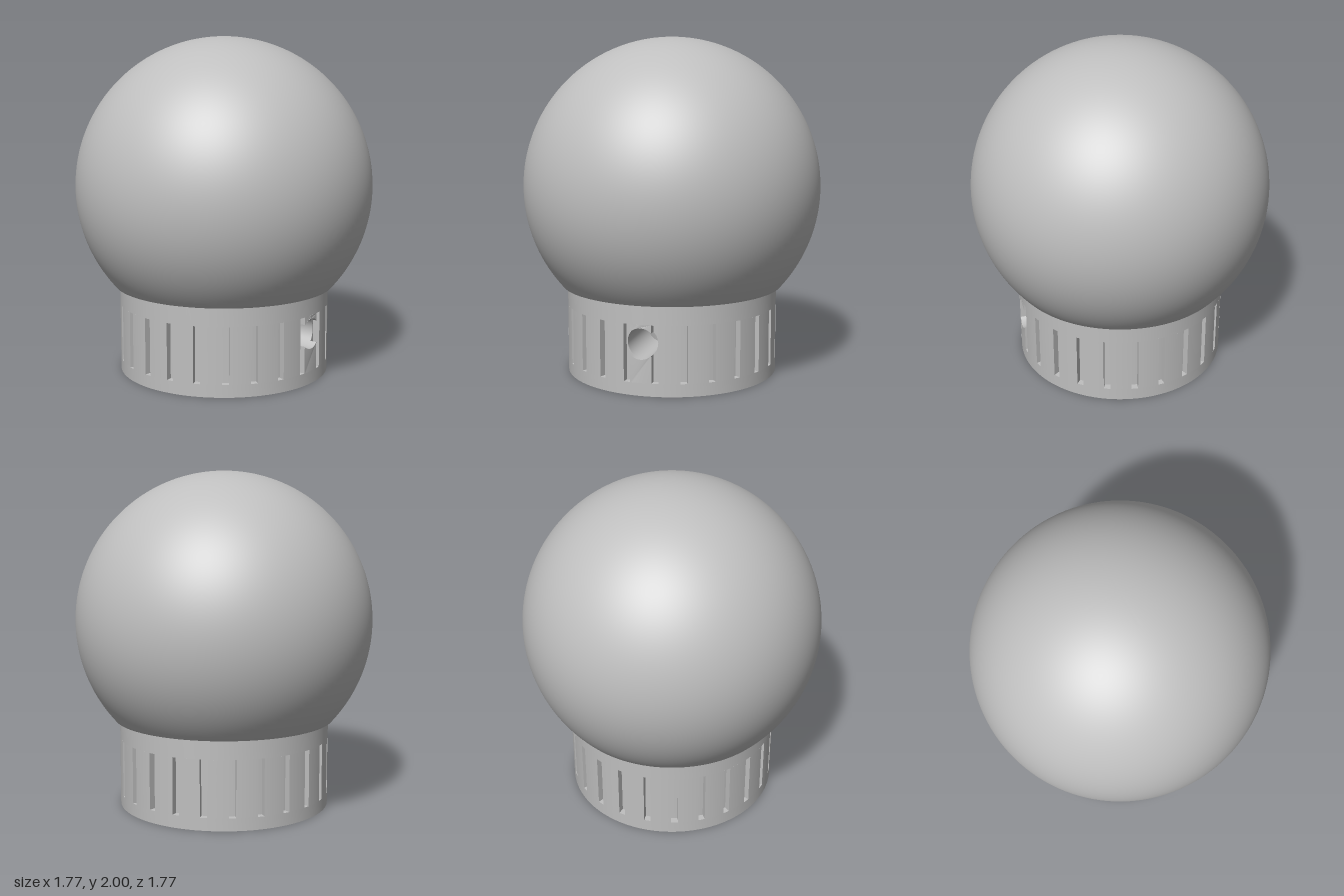
import * as THREE from 'three';
import { toCreasedNormals } from 'three/addons/utils/BufferGeometryUtils.js';

const R = 0.63, CORE = 0.59, BORE = 0.225;      // base, slot floor and bore radii
const SLOT_LO = 0.075, SLOT_HI = 0.41, TOP = 0.525;
const SLOTS = 24, HALF_SLOT = 0.02;
const HOLE_Y = 0.3, HOLE_R = 0.09;              // round side hole on +x
const GLOBE_R = 0.885, GLOBE_Y = 1.115;
const STEP = (Math.PI * 2) / SLOTS;

const grey = new THREE.MeshStandardMaterial({ color: 0xbfbfbf });
grey.name = 'grey';

function add(group, name, geometry) {
  const mesh = new THREE.Mesh(geometry, grey);
  mesh.name = name;
  group.add(mesh);
  return mesh;
}

// Revolved profile; gap leaves out a sector of that half angle around +x
function revolve(points, gap = 0, segments = 144) {
  const pts = points.map(([x, y]) => new THREE.Vector2(x, y));
  return toCreasedNormals(
    new THREE.LatheGeometry(pts, segments, Math.PI / 2 + gap, Math.PI * 2 - 2 * gap), 0.6);
}

// Surface from a grid of points, fn(u, v) -> [x, y, z]
function surface(nu, nv, fn) {
  const pos = [], index = [];
  for (let j = 0; j <= nv; j++)
    for (let i = 0; i <= nu; i++) pos.push(...fn(i / nu, j / nv));
  for (let j = 0; j < nv; j++)
    for (let i = 0; i < nu; i++) {
      const a = j * (nu + 1) + i, b = a + nu + 1;
      index.push(a, a + 1, b, a + 1, b + 1, b);
    }
  const g = new THREE.BufferGeometry();
  g.setAttribute('position', new THREE.Float32BufferAttribute(pos, 3));
  g.setIndex(index);
  g.computeVertexNormals();
  return g;
}

// Patch of a cylinder wall around the side hole; dir 1 faces out, -1 faces in
function holedPatch(r, halfAngle, lo, hi, dir) {
  const hz = r * Math.sin(halfAngle), mid = (lo + hi) / 2, hy = (hi - lo) / 2;
  return surface(64, 6, (u, v) => {
    const t = u * Math.PI * 2 * dir, c = Math.cos(t), s = Math.sin(t);
    const m = Math.max(Math.abs(c), Math.abs(s));
    const z = THREE.MathUtils.lerp(HOLE_R * c, (hz * c) / m, v);
    const y = THREE.MathUtils.lerp(HOLE_Y + HOLE_R * s, mid + (hy * s) / m, v);
    return [Math.sqrt(r * r - z * z), y, z];
  });
}

// Rib between two slots, centred on +x
function ribGeometry() {
  const outer = STEP / 2 - HALF_SLOT / R, inner = STEP / 2 - HALF_SLOT / CORE;
  const shape = new THREE.Shape();
  shape.absarc(0, 0, R, -outer, outer, false);
  shape.absarc(0, 0, CORE - 0.005, inner, -inner, true);
  const g = new THREE.ExtrudeGeometry(shape,
    { depth: SLOT_HI - SLOT_LO, bevelEnabled: false, curveSegments: 6 });
  g.rotateX(-Math.PI / 2).translate(0, SLOT_LO, 0);
  return toCreasedNormals(g, 0.6);
}

// Part of the +x rib left above (side 1) or below (side -1) the round hole
function cutRibGeometry(side) {
  const w = R * Math.sin(STEP / 2) - HALF_SLOT, n = 10, pts = [];
  const end = side > 0 ? SLOT_HI : SLOT_LO;
  for (let i = 0; i <= n; i++) pts.push(new THREE.Vector2(-w + (2 * w * i) / n, end));
  for (let i = n; i >= 0; i--) {
    const z = -w + (2 * w * i) / n;
    pts.push(new THREE.Vector2(z, HOLE_Y + side * Math.sqrt(HOLE_R * HOLE_R - z * z)));
  }
  const g = new THREE.ExtrudeGeometry(new THREE.Shape(pts), { depth: 0.05, bevelEnabled: false });
  g.rotateY(Math.PI / 2).translate(CORE - 0.01, 0, 0);
  const p = g.attributes.position;
  for (let i = 0; i < p.count; i++) {
    const r = p.getX(i) > CORE + 0.02 ? R : CORE - 0.001;
    p.setX(i, Math.sqrt(r * r - p.getZ(i) ** 2));
  }
  return toCreasedNormals(g, 0.6);
}

export function createModel() {
  const model = new THREE.Group();
  model.name = 'globeLamp';

  // Globe, cut flat where it sits on the base
  const start = Math.asin((TOP - GLOBE_Y) / GLOBE_R), profile = [[0, TOP]];
  for (let i = 0; i <= 64; i++) {
    const a = THREE.MathUtils.lerp(start, Math.PI / 2, i / 64);
    profile.push([Math.max(0, GLOBE_R * Math.cos(a)), GLOBE_Y + GLOBE_R * Math.sin(a)]);
  }
  add(model, 'globe', revolve(profile, 0, 128));

  const base = new THREE.Group();
  base.name = 'base';
  model.add(base);

  // Plain rings below and above the slots
  add(base, 'lowerRing', revolve([[BORE, 0], [R, 0], [R, SLOT_LO], [CORE, SLOT_LO]]));
  add(base, 'upperRing', revolve([[CORE, SLOT_HI], [R, SLOT_HI], [R, TOP]]));

  // Slot floor, with a pierced patch at the side hole
  const coreGap = STEP * 0.75;
  add(base, 'slotFloor', revolve([[CORE, SLOT_LO], [CORE, SLOT_HI]], coreGap));
  add(base, 'slotFloorPatch', holedPatch(CORE, coreGap, SLOT_LO, SLOT_HI, 1));

  // Ribs between the slots; the one on +x is cut by the hole
  const rib = ribGeometry();
  for (let i = 1; i < SLOTS; i++) add(base, 'rib', rib).rotation.y = i * STEP;
  add(base, 'upperCutRib', cutRibGeometry(1));
  add(base, 'lowerCutRib', cutRibGeometry(-1));

  // Central bore, open at the bottom
  const boreGap = Math.PI / 4, lo = 0.1, hi = 0.5;
  add(base, 'boreBottom', revolve([[BORE, lo], [BORE, 0]]));
  add(base, 'boreMiddle', revolve([[BORE, hi], [BORE, lo]], boreGap));
  add(base, 'borePatch', holedPatch(BORE, boreGap, lo, hi, -1));
  add(base, 'boreTop', revolve([[BORE, TOP], [BORE, hi]]));

  // Round side hole running into the bore
  add(base, 'sideHole', surface(64, 1, (u, v) => {
    const t = u * Math.PI * 2, z = HOLE_R * Math.cos(t), r = v ? CORE : BORE;
    return [Math.sqrt(r * r - z * z), HOLE_Y + HOLE_R * Math.sin(t), z];
  }));

  return model;
}
